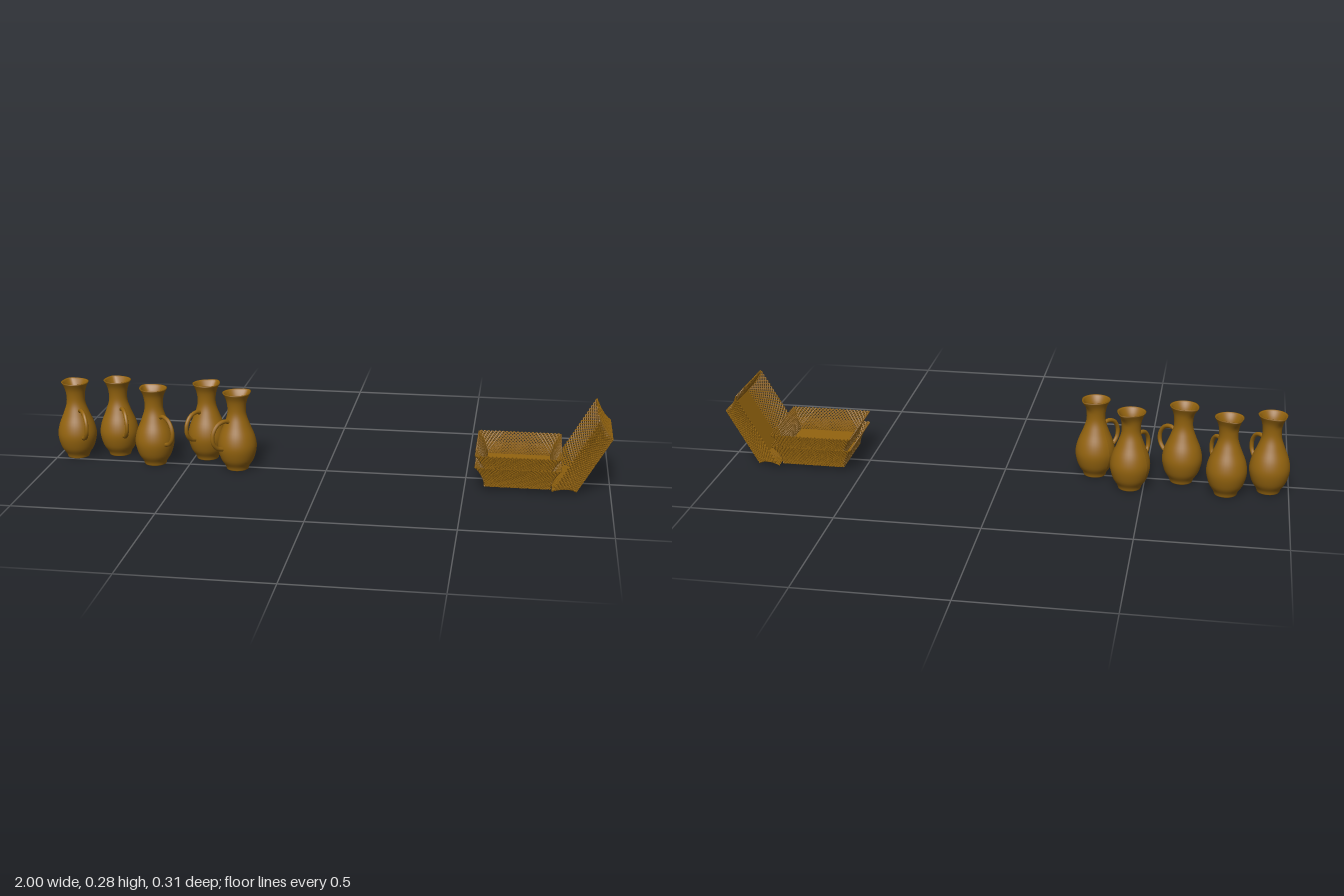
import * as THREE from 'three';
import { mergeGeometries } from 'three/addons/utils/BufferGeometryUtils.js';

const material = new THREE.MeshStandardMaterial({ color: 0x94640f, side: THREE.DoubleSide });

function mesh(name, geometry) {
  const m = new THREE.Mesh(geometry, material);
  m.name = name;
  return m;
}

// Jug: hollow turned body with a small pouring lip (-x) and a loop handle (+x)
function createJug() {
  const jug = new THREE.Group();
  const outer = new THREE.SplineCurve([
    [0.039, 0], [0.044, 0.014], [0.06, 0.04], [0.07, 0.082], [0.064, 0.122], [0.047, 0.165],
    [0.035, 0.2], [0.033, 0.228], [0.038, 0.258], [0.05, 0.283],
  ].map(p => new THREE.Vector2(...p))).getPoints(36);
  const inner = outer.slice(2).reverse().map(p => new THREE.Vector2(p.x - 0.004, p.y));
  const profile = [new THREE.Vector2(0, 0), ...outer, ...inner, new THREE.Vector2(0, inner.at(-1).y)];
  const body = new THREE.LatheGeometry(profile, 40);

  // Pull the rim outwards on one side to form the lip
  const pos = body.attributes.position;
  for (let i = 0; i < pos.count; i++) {
    const x = pos.getX(i), y = pos.getY(i), z = pos.getZ(i);
    const rise = THREE.MathUtils.smoothstep(y, 0.24, 0.283);
    const facing = Math.max(0, -x / (Math.hypot(x, z) || 1));
    pos.setX(i, x - 0.011 * rise * facing ** 8);
  }
  body.computeVertexNormals();
  jug.add(mesh('jugBody', body));

  const path = new THREE.CatmullRomCurve3([
    [0.032, 0.178], [0.058, 0.187], [0.09, 0.178], [0.11, 0.15], [0.11, 0.118], [0.092, 0.094], [0.064, 0.084],
  ].map(([x, y]) => new THREE.Vector3(x, y, 0)));
  jug.add(mesh('jugHandle', new THREE.TubeGeometry(path, 28, 0.0075, 10)));
  return jug;
}

// Point on the flared basket wall: p runs round the four sides (0..4), v from floor to rim
const DEPTH = 0.077;
function wallPoint(p, v) {
  p = ((p % 4) + 4) % 4;
  const side = Math.floor(p);
  const w = 0.112 + 0.034 * v ** 1.7;
  return new THREE.Vector3((2 * (p - side) - 1) * w, v * DEPTH, w)
    .applyAxisAngle(new THREE.Vector3(0, 1, 0), side * Math.PI / 2);
}

// Basket: solid square floor and an open weave of crossing diagonal strands
function createBasket() {
  const basket = new THREE.Group();
  const floor = new THREE.BoxGeometry(0.222, 0.005, 0.222);
  floor.translate(0, 0.001, 0);
  basket.add(mesh('basketFloor', floor));

  const strands = [];
  const perSide = 22;
  for (let i = 0; i < perSide * 4; i++) {
    for (const lean of [-1, 1]) {
      const points = [];
      for (let k = 0; k <= 8; k++) {
        const v = k / 8;
        points.push(wallPoint((i + 0.5) / perSide + lean * 0.34 * (1 - v), v));
      }
      strands.push(new THREE.TubeGeometry(new THREE.CatmullRomCurve3(points), 9, 0.0027, 4));
    }
  }
  basket.add(mesh('basketWeave', mergeGeometries(strands)));
  return basket;
}

export function createModel() {
  const model = new THREE.Group();
  model.name = 'jugsAndBaskets';

  // Jugs: x, z and the direction of the handle (dx, dz)
  [
    [-0.93, -0.04, 12, 17],
    [-0.784, -0.086, 10, 17],
    [-0.627, 0, 16, 14],
    [-0.452, -0.087, -10, 18],
    [-0.32, 0.013, -13, 16],
  ].forEach(([x, z, dx, dz], i) => {
    const jug = createJug();
    jug.name = `jug${i + 1}`;
    jug.position.set(x, 0, z);
    jug.rotation.y = -Math.atan2(dz, dx);
    model.add(jug);
  });

  // Two stacked baskets and one propped on its edge: x, y, tilt
  [
    ['lowerBasket', 0.682, 0.014, 0],
    ['upperBasket', 0.682, 0.056, 0],
    ['leaningBasket', 0.94, 0.106, Math.PI / 3],
  ].forEach(([name, x, y, tilt]) => {
    const basket = createBasket();
    basket.name = name;
    basket.position.set(x, y, 0.004);
    basket.rotation.z = tilt;
    model.add(basket);
  });
  return model;
}
